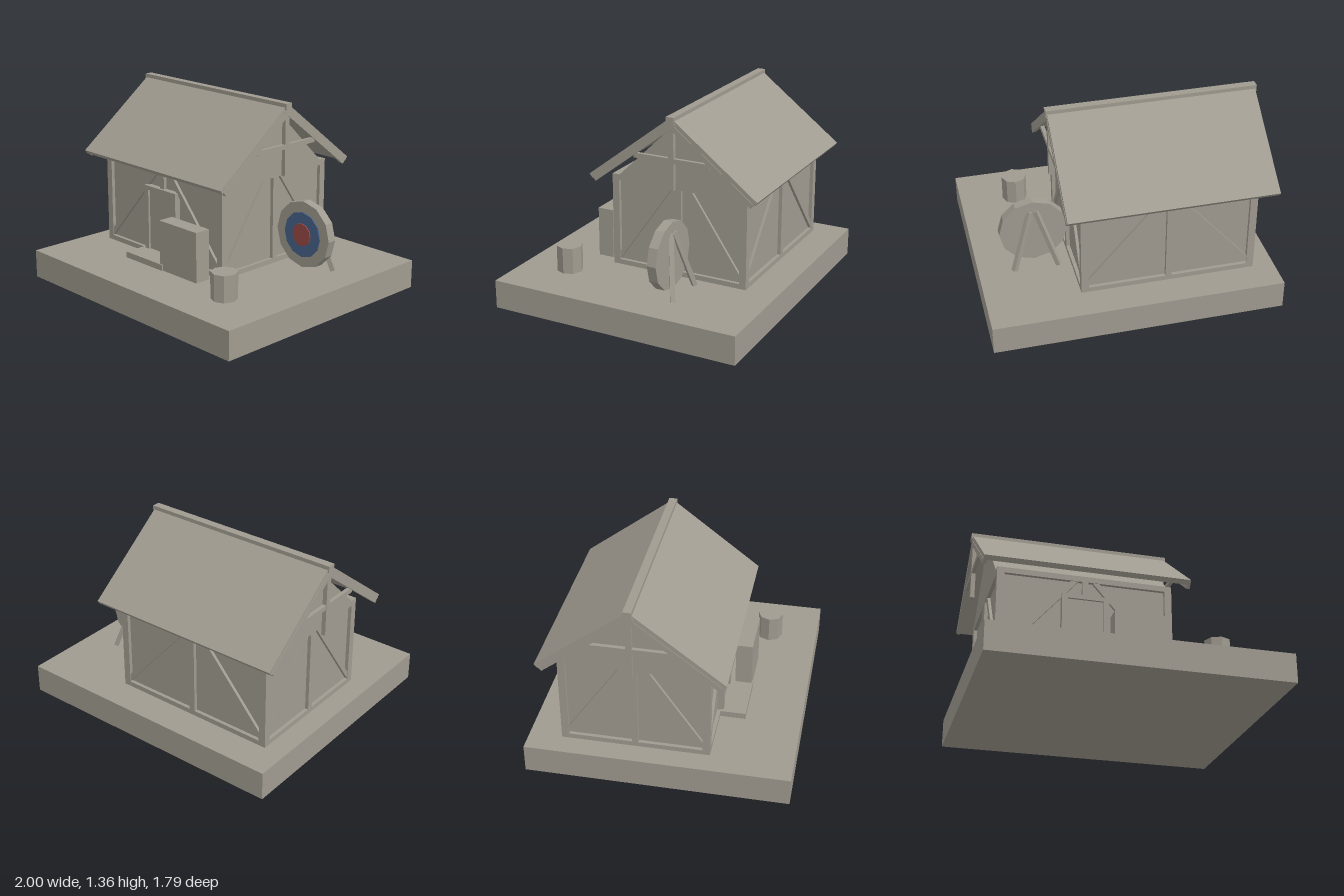
import * as THREE from 'three';

export function createModel() {
  const stone = new THREE.MeshStandardMaterial({ color: 0xa09b90 });
  stone.name = 'stone grey';
  const blue = new THREE.MeshStandardMaterial({ color: 0x48628a });
  blue.name = 'target blue';
  const red = new THREE.MeshStandardMaterial({ color: 0x9a4a46 });
  red.name = 'target red';

  const root = new THREE.Group();
  root.name = 'cottage';

  const add = (parent, name, geo, mat = stone) => {
    const m = new THREE.Mesh(geo, mat);
    m.name = name;
    parent.add(m);
    return m;
  };
  // Box given by its minimum and maximum corners
  const box = (parent, name, [x0, y0, z0], [x1, y1, z1]) => {
    const m = add(parent, name, new THREE.BoxGeometry(x1 - x0, y1 - y0, z1 - z0));
    m.position.set((x0 + x1) / 2, (y0 + y1) / 2, (z0 + z1) / 2);
    return m;
  };
  const extrude = (points, depth) => new THREE.ExtrudeGeometry(
    new THREE.Shape(points.map(p => new THREE.Vector2(...p))), { depth, bevelEnabled: false });
  // Square beam running between two points
  const strut = (parent, name, a, b, size) => {
    const from = new THREE.Vector3(...a), to = new THREE.Vector3(...b);
    const m = add(parent, name, new THREE.BoxGeometry(size, size, from.distanceTo(to)));
    m.position.copy(from).lerp(to, 0.5);
    m.lookAt(to);
  };

  // Ground slab
  box(root, 'groundSlab', [-1, 0, -0.895], [1, 0.2, 0.895]);

  // House: local origin at the middle of the floor plan
  const house = new THREE.Group();
  house.name = 'house';
  house.position.set(-0.245, 0, -0.165);
  root.add(house);
  const HX = 0.605, HZ = 0.505, FLOOR = 0.2, PLATE = 0.82, TOP = 0.86, RECESS = 0.025;

  box(house, 'walls', [-HX + RECESS, FLOOR, -HZ + RECESS], [HX - RECESS, TOP, HZ - RECESS]);

  // Gable infill
  const gable = add(house, 'gables', extrude([[-0.45, TOP], [0.45, TOP], [0, 1.295]], HX * 2));
  gable.rotation.y = Math.PI / 2;
  gable.position.x = -HX;

  // Corner posts
  for (const sx of [-1, 1]) for (const sz of [-1, 1]) {
    const p = add(house, 'cornerPost', new THREE.BoxGeometry(0.05, TOP - FLOOR, 0.05));
    p.position.set(sx * (HX - 0.025), (TOP + FLOOR) / 2, sz * (HZ - 0.025));
  }

  // Timber framing on the four walls
  for (let i = 0; i < 4; i++) {
    const half = i % 2 ? HZ : HX, out = i % 2 ? HX : HZ;
    const wall = new THREE.Group();
    wall.name = 'wallFrame';
    wall.rotation.y = i * Math.PI / 2;
    house.add(wall);
    const e = half - 0.05, inner = out - 0.05;
    box(wall, 'sillBeam', [-e, FLOOR, inner], [e, 0.235, out]);
    box(wall, 'topPlate', [-e, PLATE, inner], [e, TOP, out]);
    box(wall, 'middlePost', [-0.021, 0.235, inner], [0.021, PLATE, out]);
    for (const s of [-1, 1]) {
      const brace = add(wall, 'diagonalBrace', extrude(
        [[s * e, 0.295], [s * e, 0.24], [s * 0.05, PLATE], [s * 0.1, PLATE]], 0.04));
      brace.position.z = out - 0.045;
    }
  }

  // Roof slopes with rafters along both ends
  const ANGLE = THREE.MathUtils.degToRad(37.5), LENGTH = 0.784;
  for (const turn of [0, Math.PI]) {
    const side = new THREE.Group();
    side.name = 'roofSide';
    side.rotation.y = turn;
    house.add(side);
    const slope = new THREE.Group();
    slope.name = 'roofSlope';
    slope.position.y = 1.35;
    slope.rotation.x = ANGLE;
    side.add(slope);
    box(slope, 'roofPanel', [-0.712, -0.035, 0], [0.712, 0, LENGTH]);
    for (const s of [-1, 1]) {
      const r = add(slope, 'endRafter', new THREE.BoxGeometry(0.026, 0.035, LENGTH - 0.01));
      r.position.set(s * 0.702, -0.047, LENGTH / 2 - 0.005);
    }
  }
  box(house, 'ridgeBeam', [-0.722, 1.31, -0.028], [0.722, 1.355, 0.028]);

  // Decorative cross under each roof end
  for (const s of [-1, 1]) {
    const post = add(house, 'kingPost', new THREE.BoxGeometry(0.03, 0.46, 0.04));
    post.position.set(s * 0.695, 1.08, 0);
    const tie = add(house, 'tieBeam', new THREE.BoxGeometry(0.026, 0.033, 0.555));
    tie.position.set(s * 0.695, 1.055, 0);
  }

  // Door with frame, handle and step
  const door = new THREE.Group();
  door.name = 'door';
  root.add(door);
  box(door, 'doorPanel', [-0.37, 0.2, 0.3], [-0.125, 0.68, 0.345]);
  box(door, 'doorJambRight', [-0.41, 0.2, 0.3], [-0.37, 0.71, 0.36]);
  box(door, 'doorJambLeft', [-0.125, 0.2, 0.3], [-0.085, 0.71, 0.36]);
  box(door, 'doorLintel', [-0.37, 0.68, 0.3], [-0.125, 0.71, 0.36]);
  box(door, 'doorHandle', [-0.168, 0.41, 0.345], [-0.152, 0.455, 0.358]);
  box(door, 'doorStep', [-0.435, 0.2, 0.34], [-0.055, 0.243, 0.515]);

  // Upright slab and stump in the yard
  box(root, 'uprightSlab', [-0.085, 0.2, 0.39], [0.285, 0.555, 0.505]);
  const stumpGeo = new THREE.CylinderGeometry(0.09, 0.09, 0.185, 8).toNonIndexed();
  stumpGeo.computeVertexNormals();
  add(root, 'stump', stumpGeo).position.set(0.6, 0.2925, 0.55);

  // Archery target: stacked twelve-sided discs on two rear legs
  const target = new THREE.Group();
  target.name = 'target';
  target.position.set(0.6, 0.46, 0);
  root.add(target);
  const disc = (name, r, z0, z1, mat) => {
    const geo = new THREE.CylinderGeometry(r, r, z1 - z0, 12).toNonIndexed();
    geo.computeVertexNormals();
    const m = add(target, name, geo, mat);
    m.rotation.x = Math.PI / 2;
    m.position.z = (z0 + z1) / 2;
  };
  disc('targetBoard', 0.236, -0.253, -0.188, stone);
  disc('targetRing', 0.16, -0.188, -0.18, blue);
  disc('targetCentre', 0.08, -0.18, -0.172, red);
  for (const s of [-1, 1])
    strut(root, 'targetLeg', [0.6 + s * 0.02, 0.62, -0.25], [0.6 + s * 0.155, 0.205, -0.333], 0.032);

  return root;
}
